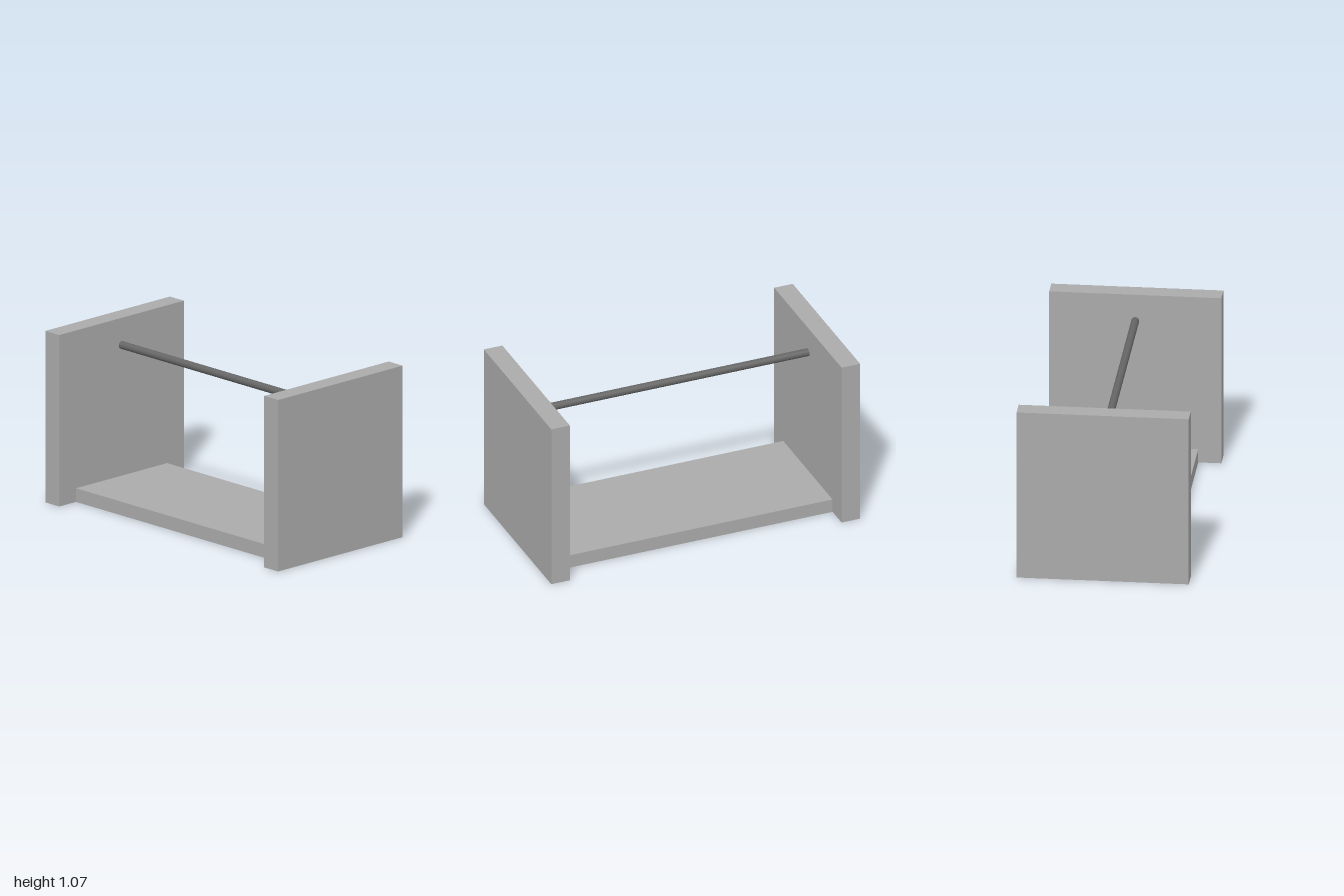
import * as THREE from 'three';

export function createModel() {
  const group = new THREE.Group();
  const panelGrey = new THREE.MeshStandardMaterial({ color: 0xaaaaaa });
  panelGrey.name = 'light grey';
  const rodGrey = new THREE.MeshStandardMaterial({ color: 0x666666 });
  rodGrey.name = 'dark grey';

  const height = 1.067, depth = 1.032, thickness = 0.12;
  const span = 2 - 2 * thickness;

  const add = (name, geometry, material, x, y) => {
    const mesh = new THREE.Mesh(geometry, material);
    mesh.name = name;
    mesh.position.set(x, y, 0);
    group.add(mesh);
  };

  // Upright side panels
  for (const [name, side] of [['leftPanel', 1], ['rightPanel', -1]]) {
    add(name, new THREE.BoxGeometry(thickness, height, depth), panelGrey,
      side * (1 - thickness / 2), height / 2);
  }

  // Base board between the panels
  add('baseBoard', new THREE.BoxGeometry(span, 0.085, 0.755), panelGrey, 0, 0.0425);

  // Round rod joining the panels near the top
  const rod = new THREE.CylinderGeometry(0.0235, 0.0235, span, 32).rotateZ(Math.PI / 2);
  add('crossRod', rod, rodGrey, 0, 0.899);

  return group;
}
